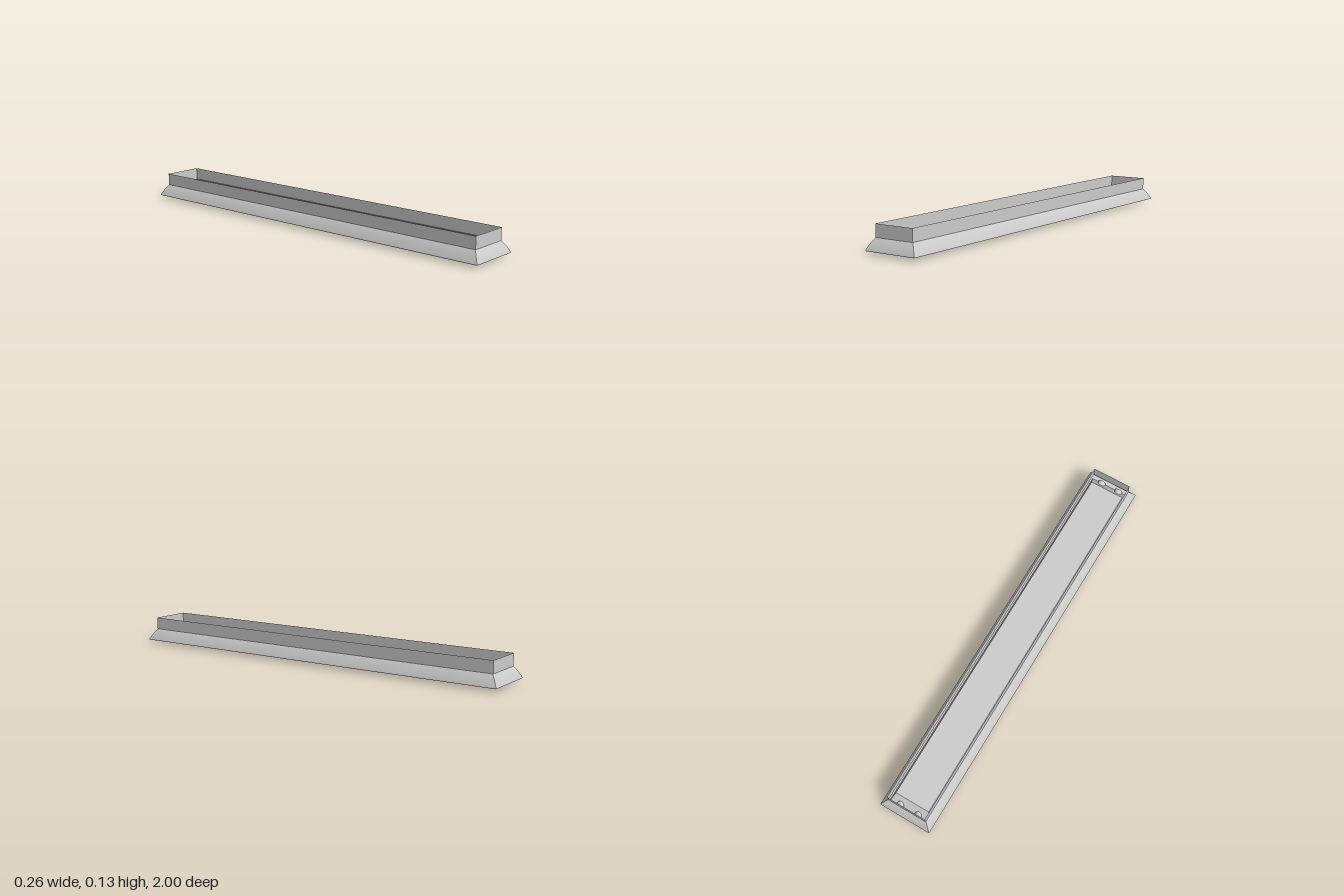
import * as THREE from 'three';

const material = new THREE.MeshStandardMaterial({ color: 0xcccccc, side: THREE.DoubleSide });

function addMesh(parent, name, geometry) {
  const mesh = new THREE.Mesh(geometry, material);
  mesh.name = name;
  parent.add(mesh);
  return mesh;
}

// Four mitred strips through rectangular rings [halfX, halfZ, y], listed top down
function rectShell(rings) {
  const corners = [[1, 1], [1, -1], [-1, -1], [-1, 1]];
  const positions = [], index = [];
  corners.forEach((a, side) => {
    const b = corners[(side + 1) % 4];
    const start = positions.length / 3;
    rings.forEach(([hx, hz, y], i) => {
      positions.push(a[0] * hx, y, a[1] * hz, b[0] * hx, y, b[1] * hz);
      if (i === rings.length - 1) return;
      const k = start + i * 2;
      index.push(k, k + 2, k + 1, k + 1, k + 2, k + 3);
    });
  });
  const geometry = new THREE.BufferGeometry();
  geometry.setAttribute('position', new THREE.Float32BufferAttribute(positions, 3));
  geometry.setIndex(index);
  geometry.computeVertexNormals();
  return geometry;
}

// Cylinder along z between z0 and z1, with a radius at each end
function rod(r0, r1, z0, z1, open = false) {
  return new THREE.CylinderGeometry(r1, r0, z1 - z0, 32, 1, open)
    .rotateX(Math.PI / 2).translate(0, 0, (z0 + z1) / 2);
}

export function createModel() {
  const model = new THREE.Group();
  model.name = 'twinTubeLight';

  // Open-topped housing with a curved flare around its foot
  addMesh(model, 'housingWall', rectShell([[0.1, 0.97, 0.132], [0.1, 0.97, 0.073]]));
  const flare = new THREE.QuadraticBezierCurve(
    new THREE.Vector2(0, 0.073), new THREE.Vector2(0.019, 0.05), new THREE.Vector2(0.032, 0.021));
  addMesh(model, 'housingFlare', rectShell(
    flare.getPoints(10).map((p) => [0.1 + p.x, 0.968 + p.x, p.y])));
  addMesh(model, 'rimEdge', rectShell([[0.132, 1, 0.021], [0.132, 1, 0.017]]));
  addMesh(model, 'rimUnderside', rectShell([[0.132, 1, 0.017], [0.105, 0.975, 0.017]]));

  // Tray-shaped reflector above the tubes
  addMesh(model, 'reflectorSides', rectShell([[0.088, 0.925, 0.075], [0.105, 0.975, 0.017]]));
  addMesh(model, 'reflectorPlate',
    new THREE.PlaneGeometry(0.176, 1.85).rotateX(-Math.PI / 2).translate(0, 0.075, 0));

  // Two tubes, each with a collar and a lampholder at both ends
  for (const x of [-0.048, 0.048]) {
    const lamp = new THREE.Group();
    lamp.name = x > 0 ? 'leftLamp' : 'rightLamp';
    lamp.position.set(x, 0.037, 0);
    addMesh(lamp, 'tube', rod(0.026, 0.026, -0.82, 0.82, true));
    for (const end of [0, Math.PI]) {
      const fitting = new THREE.Group();
      fitting.name = end ? 'backFitting' : 'frontFitting';
      fitting.rotation.y = end;
      addMesh(fitting, 'collar', rod(0.036, 0.036, 0.81, 0.92));
      addMesh(fitting, 'lampholder', rod(0.012, 0.02, 0.92, 0.968));
      lamp.add(fitting);
    }
    model.add(lamp);
  }
  return model;
}
